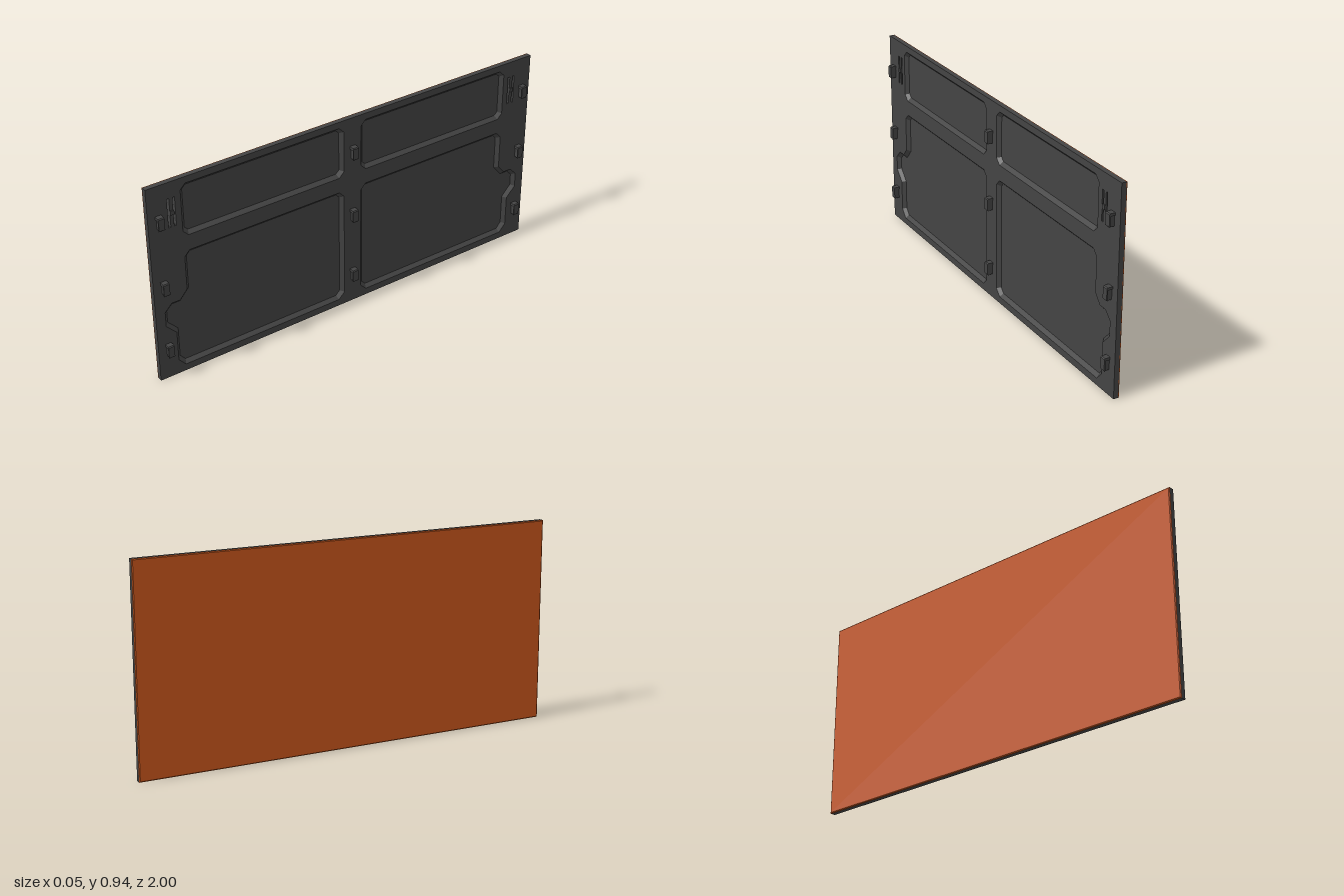
import * as THREE from 'three';

const dark = new THREE.MeshStandardMaterial({ color: 0x444444 });
const orange = new THREE.MeshStandardMaterial({ color: 0xc8561c });

// Panel is drawn in (u, v) with w as thickness, then turned so that w points to +x.
const H = 0.945, SHEET = -0.022, FLOOR = -0.016, BACK = -0.028;

const rect = (u0, v0, u1, v1) => [[u0, v0], [u1, v0], [u1, v1], [u0, v1]];
const mirror = (loop) => loop.map(([u, v]) => [-u, v]).reverse();

// Counter-clockwise loop moved inwards by d with mitred corners
function inset(loop, d) {
  const n = loop.length;
  const normal = (a, b) => {
    const l = Math.hypot(b[0] - a[0], b[1] - a[1]);
    return [-(b[1] - a[1]) / l, (b[0] - a[0]) / l];
  };
  return loop.map((p, i) => {
    const m = normal(loop[(i + n - 1) % n], p), k = normal(p, loop[(i + 1) % n]);
    const s = d / (1 + m[0] * k[0] + m[1] * k[1]);
    return [p[0] + (m[0] + k[0]) * s, p[1] + (m[1] + k[1]) * s];
  });
}

// Strip of flat quads between a low loop and a high loop
function wall(low, wLow, high, wHigh, isHole = false) {
  const pos = [], n = low.length;
  for (let i = 0; i < n; i++) {
    const j = (i + 1) % n;
    const [s, e] = isHole ? [j, i] : [i, j];
    const a = [...low[s], wLow], b = [...low[e], wLow];
    const c = [...high[e], wHigh], d = [...high[s], wHigh];
    pos.push(...a, ...b, ...c, ...a, ...c, ...d);
  }
  const g = new THREE.BufferGeometry();
  g.setAttribute('position', new THREE.Float32BufferAttribute(pos, 3));
  g.computeVertexNormals();
  return g;
}

const toPoints = (loop) => loop.map(([u, v]) => new THREE.Vector2(u, v));

// Flat face, with optional holes
function cap(loop, w, holes = []) {
  const shape = new THREE.Shape(toPoints(loop));
  shape.holes = holes.map((h) => new THREE.Path(toPoints(h)));
  return new THREE.ShapeGeometry(shape).translate(0, 0, w);
}

function add(parent, name, geometry, material) {
  const mesh = new THREE.Mesh(geometry, material);
  mesh.name = name;
  parent.add(mesh);
  return mesh;
}

// Small clip: a narrow web with a wider hooked rim over its top and outer end
function makeClip(u, v) {
  const clip = new THREE.Group();
  clip.name = 'clip';
  const h = 0.03, x = 0.027, t = 0.006, c = 0.004;
  const rim = new THREE.Shape(toPoints([
    [0, h], [0, h - 0.012], [x - t, h - 0.012], [x - t, -h + 0.003], [x - t + 0.002, -h],
    [x - c, -h], [x, -h + c], [x, h - c], [x - c, h],
  ]));
  const g = new THREE.ExtrudeGeometry(rim, { depth: 0.028, bevelEnabled: false });
  g.translate(0, 0, -0.014).rotateY(-Math.PI / 2);
  add(clip, 'clipRim', g, dark);
  const web = add(clip, 'clipWeb', new THREE.BoxGeometry(0.018, 0.046, x - t), dark);
  web.position.set(0, -0.006, (x - t) / 2);
  clip.position.set(u, v, 0);
  return clip;
}

export function createModel() {
  const model = new THREE.Group();
  model.name = 'panel';
  const panel = new THREE.Group();
  panel.name = 'panelBody';
  panel.rotation.y = Math.PI / 2;
  model.add(panel);

  const outline = rect(-1, 0, 1, H);

  // Pocket outlines on one half
  const upper = [
    [0.07, 0.67], [0.82, 0.67], [0.845, 0.695], [0.845, 0.89],
    [0.82, 0.915], [0.07, 0.915], [0.045, 0.89], [0.045, 0.695],
  ];
  const lower = [
    [0.075, 0.032], [0.875, 0.032], [0.908, 0.07], [0.908, 0.215], [0.955, 0.265],
    [0.955, 0.335], [0.92, 0.37], [0.88, 0.37], [0.845, 0.41], [0.845, 0.57],
    [0.82, 0.597], [0.07, 0.597], [0.045, 0.57], [0.045, 0.062],
  ];
  const pockets = [upper, lower, mirror(upper), mirror(lower)];

  // Paired narrow slots near each end
  const slotPair = [0.877, 0.903].map((u) => rect(u - 0.005, 0.735, u + 0.005, 0.87));
  const slots = [...slotPair, ...slotPair.map(mirror)];

  // Dark inner frame
  add(panel, 'frameFace', cap(outline, 0, [...pockets, ...slots]), dark);
  add(panel, 'frameEdge', wall(outline, SHEET, outline, 0), dark);

  // Sunken pockets with sloping sides
  for (const loop of pockets) {
    const bottom = inset(loop, 0.016);
    add(panel, 'pocketSlope', wall(bottom, FLOOR, loop, 0, true), dark);
    add(panel, 'pocketFloor', cap(bottom, FLOOR), dark);
  }
  for (const loop of slots) add(panel, 'slotWall', wall(loop, SHEET, loop, 0, true), dark);

  // Orange outer sheet with a fine chamfer round its back
  const backLoop = inset(outline, 0.004);
  add(panel, 'sheetFront', cap(outline, SHEET), orange);
  add(panel, 'sheetEdge', wall(outline, BACK + 0.003, outline, SHEET), orange);
  add(panel, 'sheetChamfer', wall(backLoop, BACK, outline, BACK + 0.003), orange);
  const back = cap(backLoop, 0).rotateY(Math.PI).translate(0, 0, BACK);
  add(panel, 'sheetBack', back, orange);

  // Nubs between the slots
  for (const side of [-1, 1]) {
    const nub = add(panel, 'slotNub', new THREE.BoxGeometry(0.018, 0.02, 0.006), dark);
    nub.position.set(side * 0.89, 0.803, 0.003);
  }

  // Three columns of three clips
  for (const u of [-0.952, 0, 0.952]) {
    for (const v of [0.146, 0.462, 0.779]) panel.add(makeClip(u, v));
  }
  return model;
}
